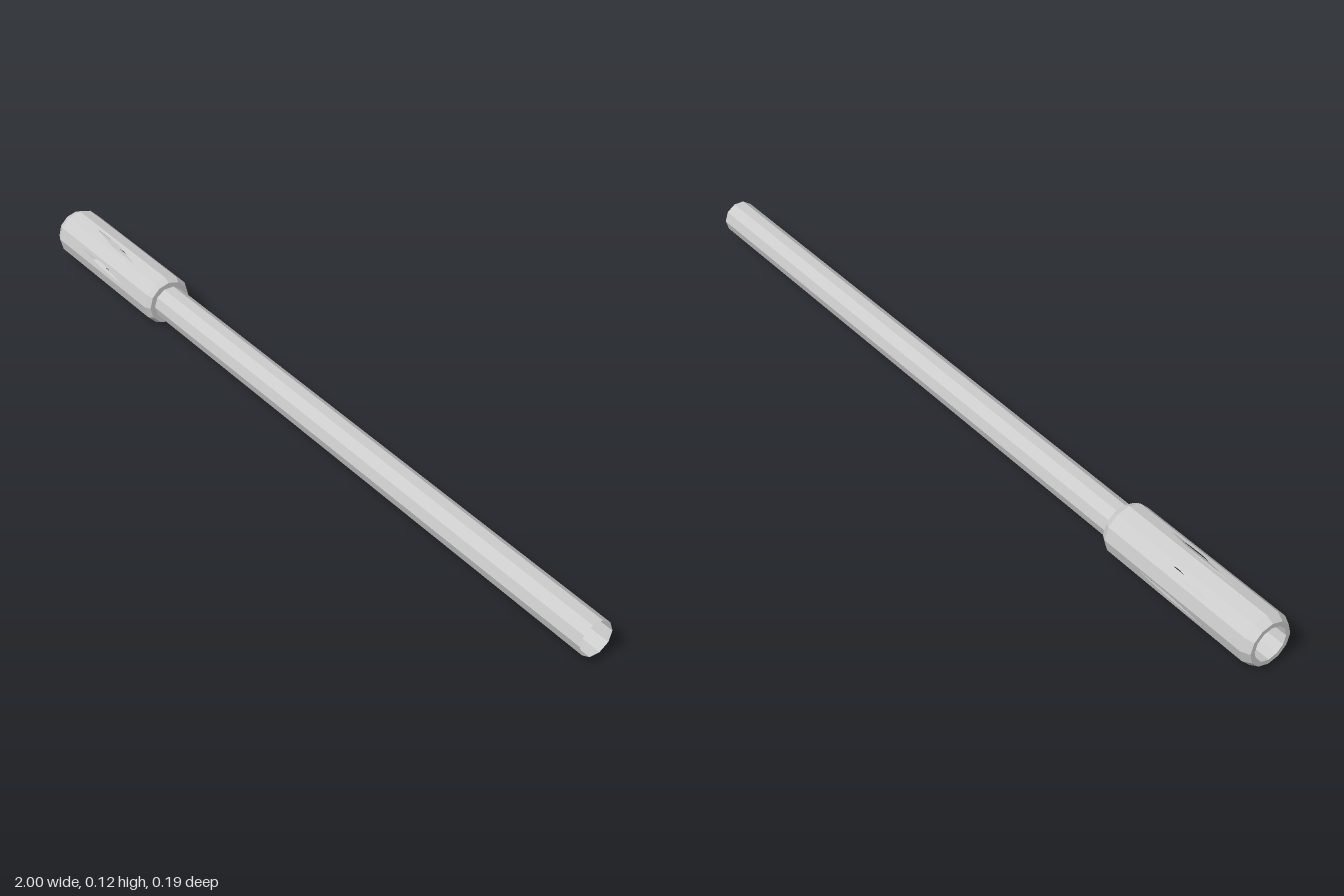
import * as THREE from 'three';

const rad = THREE.MathUtils.degToRad;
const material = new THREE.MeshStandardMaterial({
  color: 0xcccccc, flatShading: true, side: THREE.DoubleSide,
});

// Point on a regular polygon around the x axis; corners lie at multiples of the step angle
function polygonPoint(x, r, deg, step) {
  const local = ((deg % step) + step) % step - step / 2;
  const d = r * Math.cos(rad(step / 2)) / Math.cos(rad(local));
  return [x, d * Math.sin(rad(deg)), d * Math.cos(rad(deg))];
}

// Skin a grid of points: rows run along x, columns run around it
function addSkin(positions, rows) {
  for (let i = 0; i < rows.length - 1; i++) {
    for (let j = 0; j < rows[i].length - 1; j++) {
      const a = rows[i][j], b = rows[i + 1][j], c = rows[i + 1][j + 1], d = rows[i][j + 1];
      positions.push(...a, ...b, ...c, ...a, ...c, ...d);
    }
  }
}

function makeMesh(name, positions) {
  const geometry = new THREE.BufferGeometry();
  geometry.setAttribute('position', new THREE.Float32BufferAttribute(positions, 3));
  geometry.computeVertexNormals();
  const mesh = new THREE.Mesh(geometry, material);
  mesh.name = name;
  return mesh;
}

// Ten-sided open tube
function makeTube() {
  const positions = [];
  const angles = Array.from({ length: 11 }, (_, i) => i * 36);
  addSkin(positions, [-0.6, 1].map((x) => angles.map((a) => polygonPoint(x, 0.0425, a, 36))));
  return makeMesh('tube', positions);
}

// Twelve-sided sleeve: bore, bevelled ends and six tapered slots left between its panels
function makeSleeve() {
  // x, radius, slot half-angle, slot skew
  const profile = [
    [-0.9, 0.042, 0, 7],
    [-1, 0.042, 0, 7],
    [-1, 0.053, 0, 7],
    [-0.98, 0.0625, 0, 7],
    [-0.88, 0.0625, 0, 7],
    [-0.77, 0.0625, 7, 0],
    [-0.67, 0.0625, 0, -7],
    [-0.565, 0.0625, 0, -7],
    [-0.55, 0.055, 0, -7],
    [-0.55, 0.04, 0, -7],
  ];
  const positions = [];
  for (let i = 0; i < 6; i++) {
    const base = i * 60;
    addSkin(positions, profile.map(([x, r, half, skew]) =>
      [15 + skew + half, 30, 60, 75 + skew - half].map((a) => polygonPoint(x, r, base + a, 30))));
  }
  return makeMesh('slottedSleeve', positions);
}

export function createModel() {
  const group = new THREE.Group();
  group.name = 'slottedTube';

  // The whole axis is turned slightly about y
  const body = new THREE.Group();
  body.name = 'body';
  body.add(makeTube(), makeSleeve());
  body.rotation.y = -0.0445;
  body.position.set(0, 0.0625, 0.009);
  group.add(body);
  return group;
}
